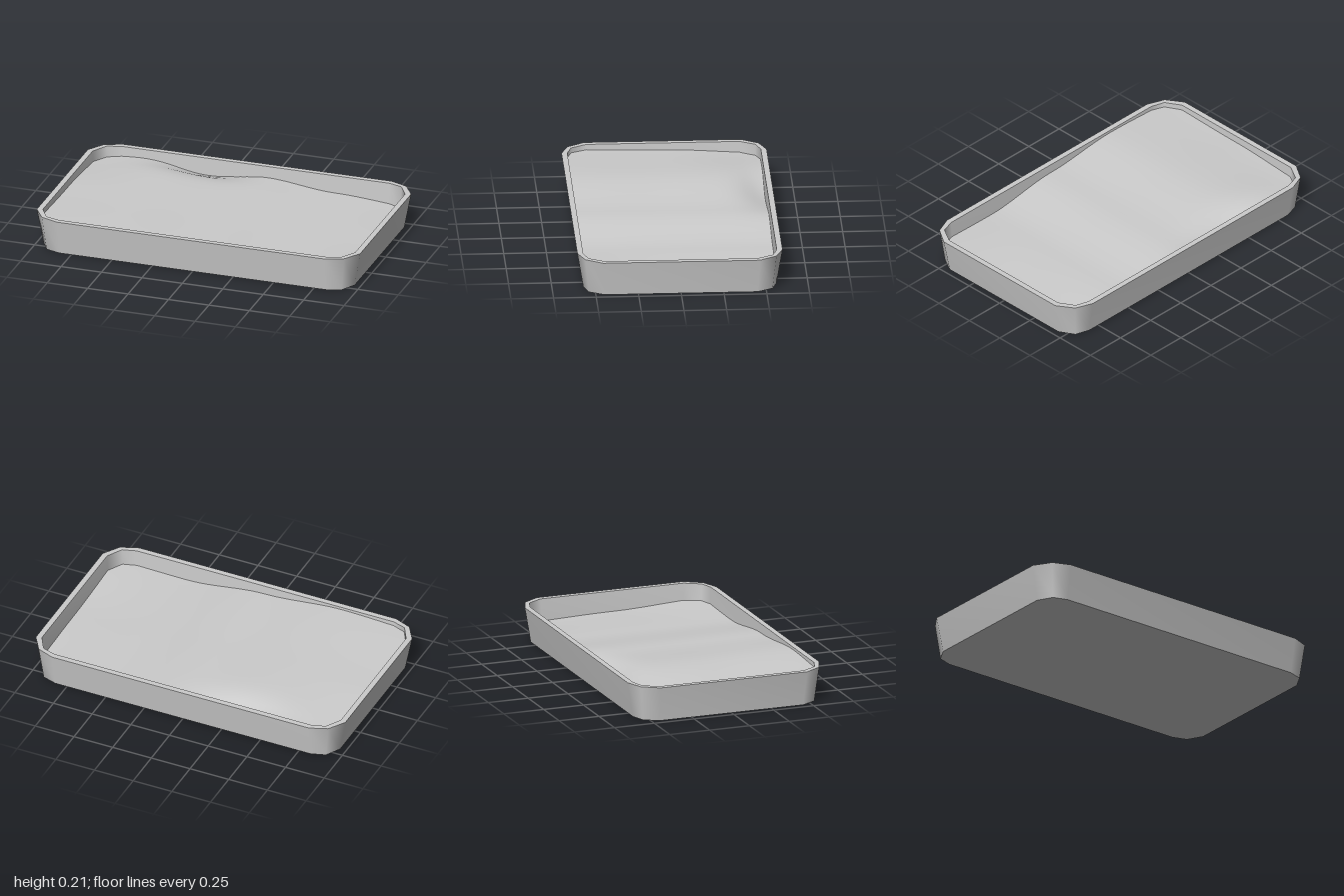
import * as THREE from 'three';

const material = new THREE.MeshStandardMaterial({ color: 0xcccccc });
const sandMaterial = new THREE.MeshStandardMaterial({ color: 0xcccccc, side: THREE.DoubleSide });

// Closed outline at height y, mirrored from the three points of one corner
function ring(y, corner) {
  const back = [...corner].reverse();
  return [
    ...corner.map(([x, z]) => [x, y, z]),
    ...back.map(([x, z]) => [-x, y, z]),
    ...corner.map(([x, z]) => [-x, y, -z]),
    ...back.map(([x, z]) => [x, y, -z]),
  ];
}

// Band of faces joining two outlines
function band(name, a, b) {
  const n = a.length, index = [];
  for (let i = 0; i < n; i++) {
    const j = (i + 1) % n;
    index.push(i, n + i, n + j, i, n + j, j);
  }
  const geometry = new THREE.BufferGeometry();
  geometry.setAttribute('position', new THREE.Float32BufferAttribute([...a, ...b].flat(), 3));
  geometry.setIndex(index);
  geometry.computeVertexNormals();
  const mesh = new THREE.Mesh(geometry, material);
  mesh.name = name;
  return mesh;
}

// Rolling fill height, smoothly blended from a coarse grid of levels
const levels = [
  [0.14, 0.183, 0.15, 0.103, 0.075],
  [0.168, 0.188, 0.152, 0.105, 0.088],
  [0.18, 0.196, 0.157, 0.105, 0.112],
];
function fillHeight(x, z) {
  const u = THREE.MathUtils.clamp((x + 1) * 2, 0, 3.999);
  const v = THREE.MathUtils.clamp((z + 0.6) / 0.6, 0, 1.999);
  const i = Math.floor(u), k = Math.floor(v);
  const s = THREE.MathUtils.smoothstep(u - i, 0, 1), t = THREE.MathUtils.smoothstep(v - k, 0, 1);
  const row = (r) => THREE.MathUtils.lerp(levels[r][i], levels[r][i + 1], s);
  const hollow = 0.072 * Math.exp(-(((x + 0.34) / 0.27) ** 2) - ((z + 0.59) / 0.14) ** 2);
  return THREE.MathUtils.lerp(row(k), row(k + 1), t) - hollow;
}

// Half width of the fill at depth z, following the cut corners
function halfWidth(z) {
  const d = Math.abs(z);
  if (d < 0.448) return 0.965;
  if (d < 0.54) return THREE.MathUtils.mapLinear(d, 0.448, 0.54, 0.965, 0.911);
  return THREE.MathUtils.mapLinear(d, 0.54, 0.566, 0.911, 0.83);
}

function makeFill() {
  const half = [0.05, 0.1, 0.15, 0.2, 0.25, 0.3, 0.35, 0.4, 0.448, 0.495, 0.54, 0.566];
  const rows = [...half.map((z) => -z).reverse(), 0, ...half];
  const columns = 40;
  const geometry = new THREE.PlaneGeometry(2, 1, columns, rows.length - 1);
  const p = geometry.attributes.position;
  rows.forEach((z, r) => {
    for (let c = 0; c <= columns; c++) {
      const x = (c / columns * 2 - 1) * halfWidth(z);
      p.setXYZ(r * (columns + 1) + c, x, fillHeight(x, z), z);
    }
  });
  geometry.computeVertexNormals();
  const mesh = new THREE.Mesh(geometry, sandMaterial);
  mesh.name = 'wavyFill';
  return mesh;
}

export function createModel() {
  const group = new THREE.Group();
  group.name = 'filledTray';

  // Tapered tray shell
  const base = ring(0, [[0.962, 0.448], [0.912, 0.538], [0.825, 0.566]]);
  const outerRim = ring(0.211, [[1, 0.46], [0.935, 0.56], [0.83, 0.601]]);
  const innerRim = ring(0.211, [[0.966, 0.449], [0.912, 0.541], [0.83, 0.567]]);
  const innerFoot = ring(0.04, [[0.958, 0.445], [0.905, 0.535], [0.825, 0.56]]);
  const centre = base.map(() => [0, 0, 0]);
  group.add(
    band('trayBottom', centre, base),
    band('outerWall', base, outerRim),
    band('rim', outerRim, innerRim),
    band('innerWall', innerRim, innerFoot),
  );

  // Uneven surface filling the tray
  group.add(makeFill());
  return group;
}
